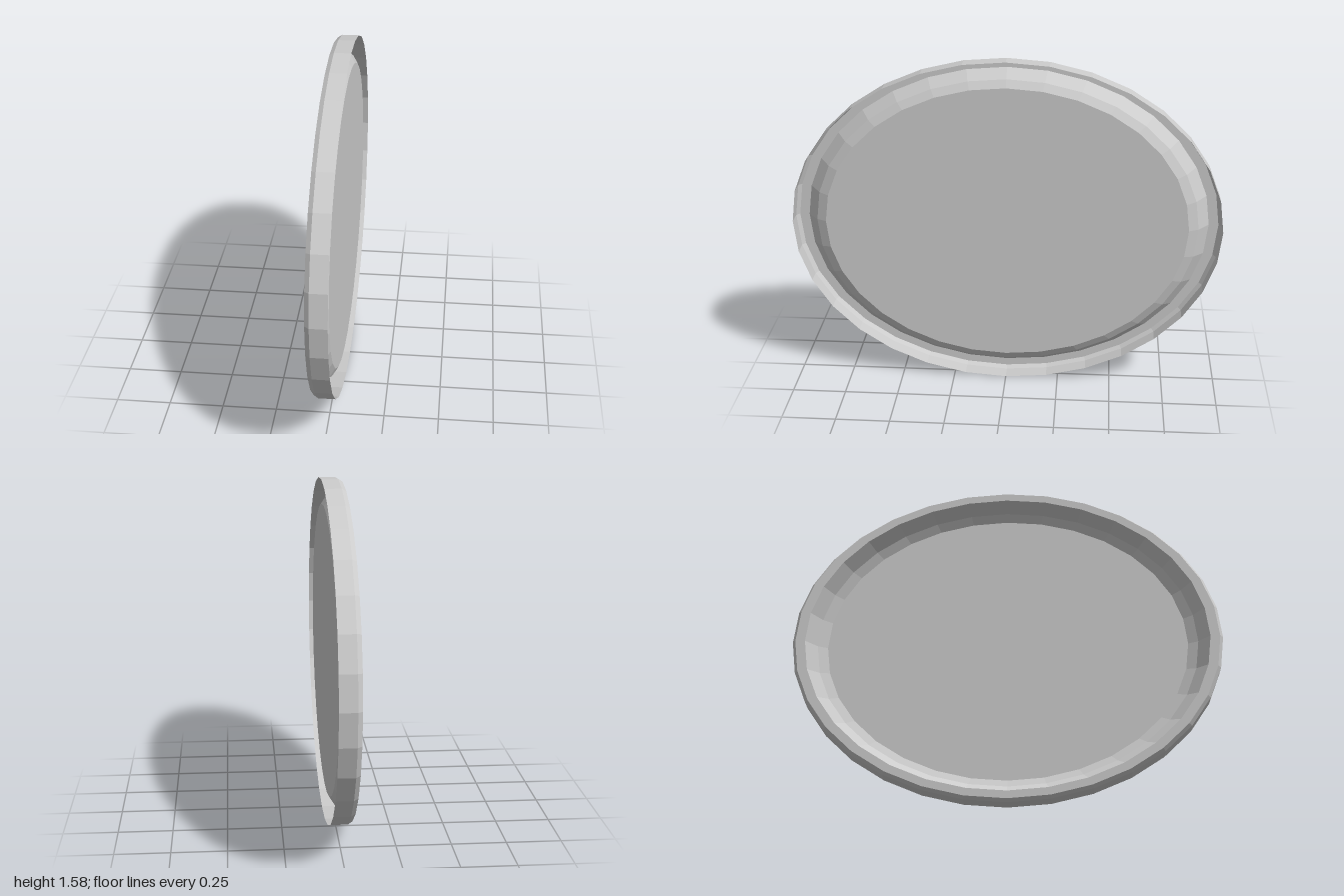
import * as THREE from 'three';

const SIDES = 32;
const HEIGHT = 1.575; // oval height; its length along z is 2

// Turn a shape spun about y so its axis lies along x, then squash it to an oval
function toOval(geometry) {
  geometry.rotateZ(-Math.PI / 2);
  geometry.scale(1, HEIGHT / 2, 1);
  geometry.translate(0, HEIGHT / 2, 0);
  return geometry;
}

export function createModel() {
  const group = new THREE.Group();
  group.name = 'ovalTray';
  const material = new THREE.MeshStandardMaterial({
    color: 0xcccccc, flatShading: true, side: THREE.DoubleSide,
  });

  function add(name, geometry) {
    const mesh = new THREE.Mesh(toOval(geometry), material);
    mesh.name = name;
    group.add(mesh);
  }

  // Thin shell profile as [radius, x]: outer wall, bevel, flat lip, steep slope, shallow slope
  const profile = [
    [1, 0.047], [1, -0.03], [0.985, -0.05], [0.94, -0.05], [0.89, 0.012], [0.845, 0.035],
  ].map(([r, x]) => new THREE.Vector2(r, x));
  add('rim', new THREE.LatheGeometry(profile, SIDES));

  // Flat recessed panel closing the rim
  const panel = [new THREE.Vector2(0.845, 0.035), new THREE.Vector2(0, 0.035)];
  add('panel', new THREE.LatheGeometry(panel, SIDES));

  return group;
}
